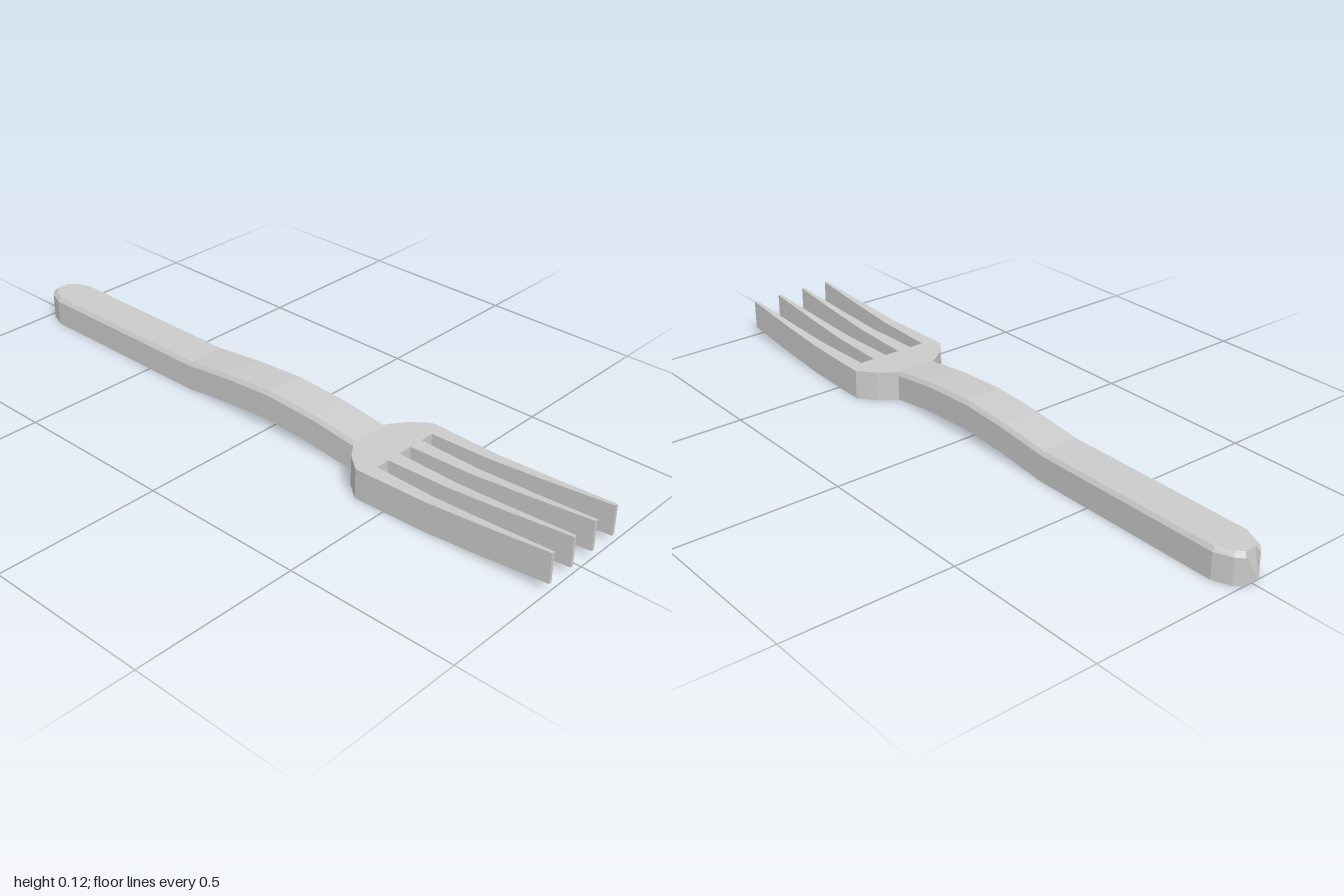
import * as THREE from 'three';

const material = new THREE.MeshStandardMaterial({ color: 0xcccccc, flatShading: true });
const HEIGHT = 0.09;

// Joins closed rings (counter-clockwise seen from +z, ordered towards +z) and caps the chosen ends.
function loft(rings, capBack, capFront) {
  const n = rings[0].length;
  const last = (rings.length - 1) * n;
  const index = [];
  for (let i = 0; i < rings.length - 1; i++) {
    for (let j = 0; j < n; j++) {
      const a = i * n + j;
      const b = i * n + ((j + 1) % n);
      index.push(a, b, b + n, a, b + n, a + n);
    }
  }
  for (let j = 1; j < n - 1; j++) {
    if (capBack) index.push(0, j + 1, j);
    if (capFront) index.push(last, last + j, last + j + 1);
  }
  const indexed = new THREE.BufferGeometry();
  indexed.setAttribute('position', new THREE.Float32BufferAttribute(rings.flat(2), 3));
  indexed.setIndex(index);
  const geometry = indexed.toNonIndexed();
  geometry.computeVertexNormals();
  return geometry;
}

function addPart(group, name, geometry) {
  const mesh = new THREE.Mesh(geometry, material);
  mesh.name = name;
  group.add(mesh);
}

// Handle: bevelled top edge, rounded end and an arched neck.
function handleGeometry() {
  // z, half width, lift, z shift of the bevelled top
  const stations = [
    [-1, 0.025, 0, 0.012],
    [-0.98, 0.045, 0, 0.009],
    [-0.93, 0.066, 0, 0.003],
    [-0.32, 0.066, 0, 0],
    [-0.16, 0.066, 0.018, 0],
    [0, 0.066, 0.028, 0],
    [0.17, 0.066, 0.019, 0],
    [0.32, 0.066, 0, 0],
  ];
  const rings = stations.map(([z, w, y, shift]) => {
    const top = w - 0.008;
    return [
      [-w, y, z], [w, y, z], [w, y + HEIGHT - 0.012, z],
      [top, y + HEIGHT, z + shift], [-top, y + HEIGHT, z + shift], [-w, y + HEIGHT - 0.012, z],
    ];
  });
  return loft(rings, true, false);
}

// Head: flat plate that widens from the neck to the tine roots.
function headGeometry() {
  const half = [[0.066, 0.318], [0.118, 0.355], [0.158, 0.405], [0.158, 0.44]];
  const mirrored = half.map(([x, z]) => [-x, z]).reverse();
  const shape = new THREE.Shape([...half, ...mirrored].map(([x, z]) => new THREE.Vector2(x, z)));
  const geometry = new THREE.ExtrudeGeometry(shape, { depth: HEIGHT, bevelEnabled: false });
  return geometry.rotateX(Math.PI / 2).translate(0, HEIGHT, 0);
}

// Tine: tapers to a thin blade and curves upwards.
function tineGeometry(centre) {
  const stations = [[0.44, 0], [0.63, 0], [0.8, 0.01], [1, 0.025]];
  const rings = stations.map(([z, y]) => {
    const t = (z - 0.44) / 0.56;
    const x = THREE.MathUtils.lerp(centre, centre > 0.1 || centre < -0.1 ? Math.sign(centre) * 0.135 : centre, t);
    const w = THREE.MathUtils.lerp(0.0225, 0.005, t);
    return [[x - w, y, z], [x + w, y, z], [x + w, y + HEIGHT, z], [x - w, y + HEIGHT, z]];
  });
  return loft(rings, false, true);
}

export function createModel() {
  const fork = new THREE.Group();
  fork.name = 'fork';
  addPart(fork, 'handle', handleGeometry());
  addPart(fork, 'head', headGeometry());
  [-0.1355, -0.0455, 0.0455, 0.1355].forEach((x, i) => addPart(fork, `tine${i + 1}`, tineGeometry(x)));
  return fork;
}
